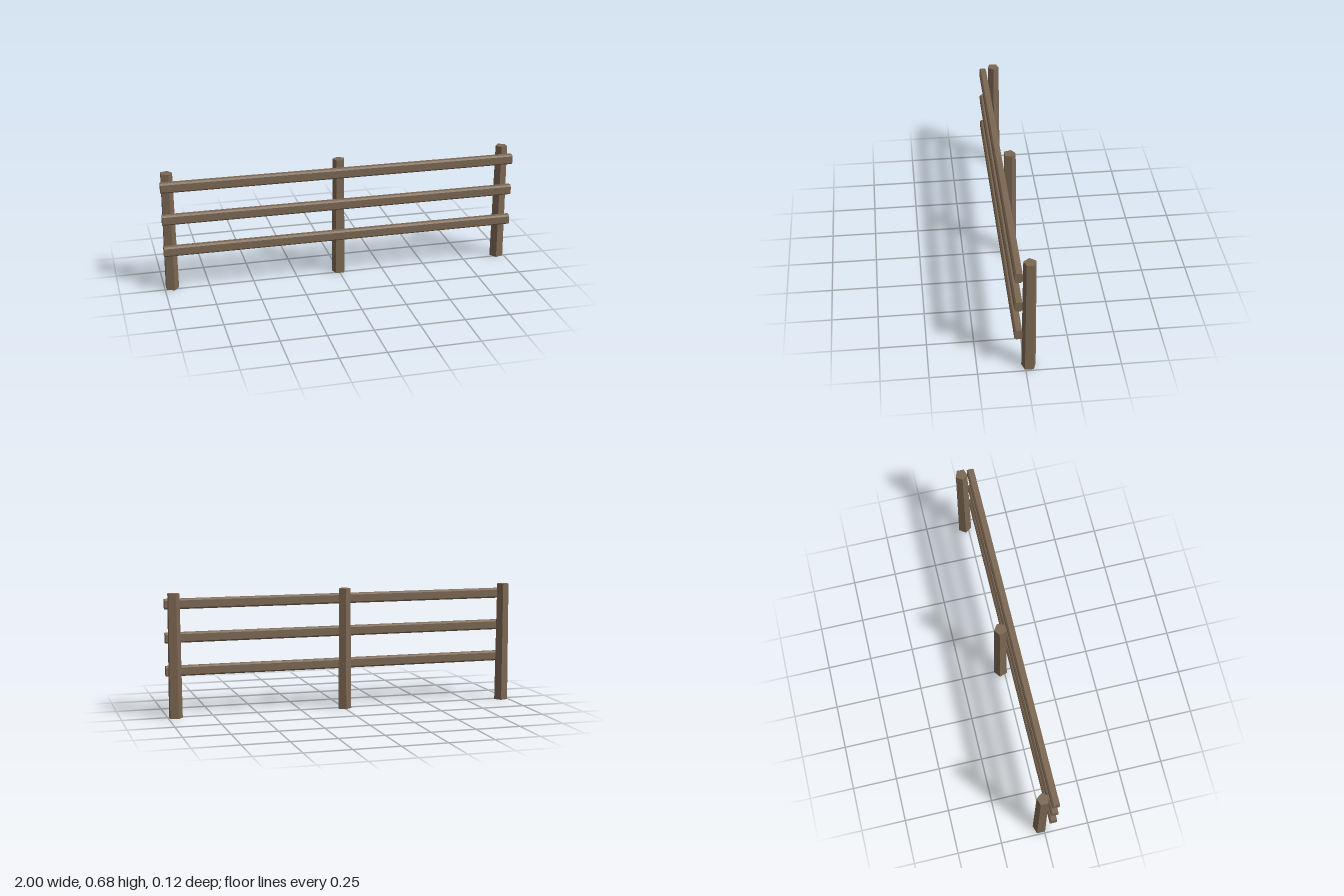
import * as THREE from 'three';

export function createModel() {
  const model = new THREE.Group();
  model.name = 'fence';
  const wood = new THREE.MeshStandardMaterial({ color: 0x7b6752 });
  wood.name = 'weathered wood';
  wood.flatShading = true;

  // Tapered five-sided posts; the ends point their ridge inward, the middle one backward
  const postHeight = 0.682;
  const posts = [
    ['rightPost', -0.96, Math.PI / 2],
    ['middlePost', 0, Math.PI],
    ['leftPost', 0.96, -Math.PI / 2],
  ];
  for (const [name, x, ridge] of posts) {
    const geometry = new THREE.CylinderGeometry(0.0345, 0.0397, postHeight, 5, 1, false, ridge);
    const post = new THREE.Mesh(geometry, wood);
    post.name = name;
    post.position.set(x, postHeight / 2, -0.0192);
    model.add(post);
  }

  // Chamfered rail section, extruded along the fence
  const w = 0.0203, h = 0.0282, c = 0.0085;
  const section = new THREE.Shape([
    [w, -h + c], [w, h - c], [w - c, h], [-w + c, h],
    [-w, h - c], [-w, -h + c], [-w + c, -h], [w - c, -h],
  ].map(([x, y]) => new THREE.Vector2(x, y)));
  const railGeometry = new THREE.ExtrudeGeometry(section, { depth: 2, bevelEnabled: false });
  railGeometry.translate(0, 0, -1).rotateY(Math.PI / 2);

  // Three rails in front of the posts, the upper two sagging very slightly
  const rails = [
    ['bottomRail', 0.2505, 0],
    ['middleRail', 0.435, -0.0007],
    ['topRail', 0.62, -0.0012],
  ];
  for (const [name, y, tilt] of rails) {
    const rail = new THREE.Mesh(railGeometry, wood);
    rail.name = name;
    rail.position.set(0, y, 0.0411);
    rail.rotation.z = tilt;
    model.add(rail);
  }
  return model;
}
